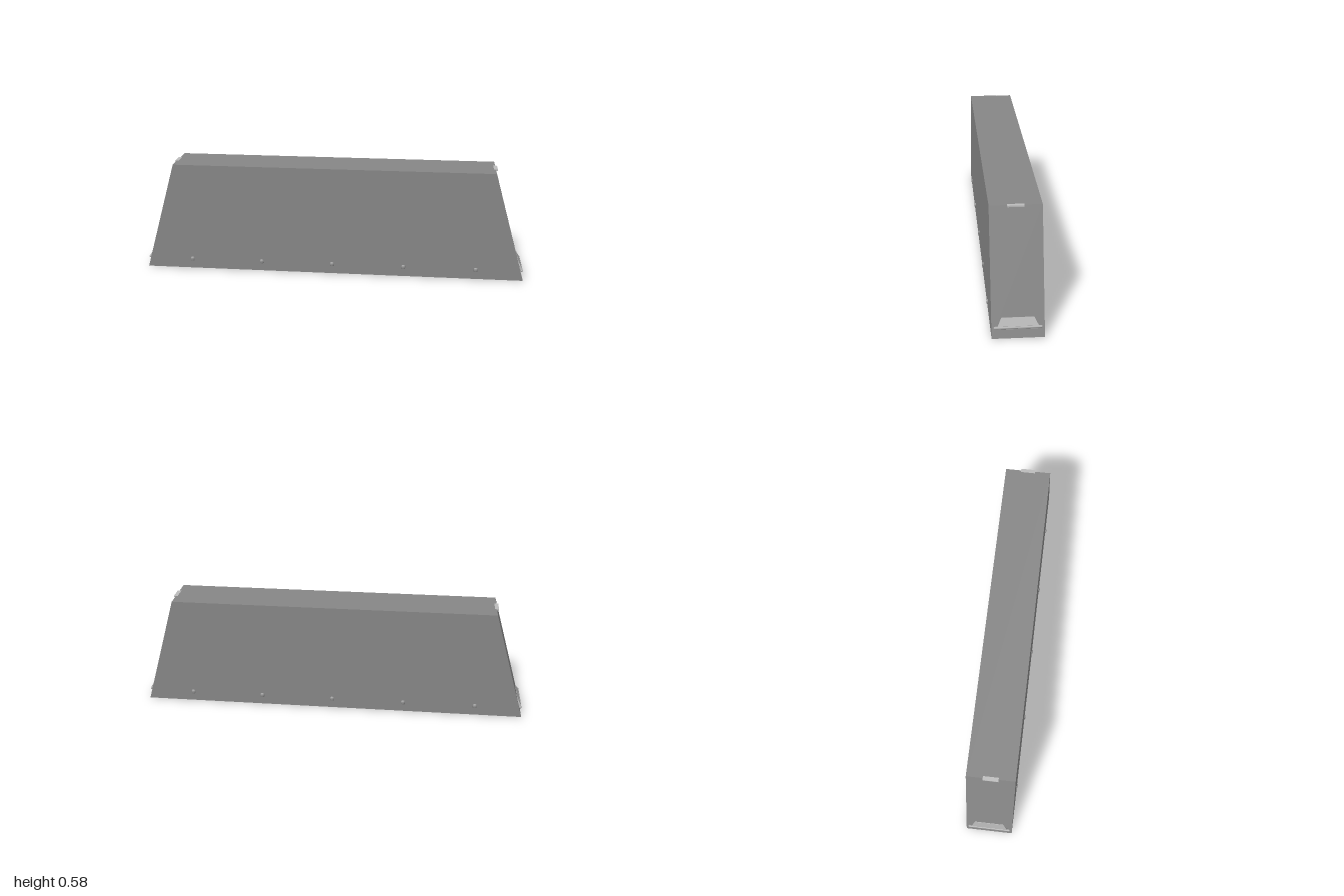
import * as THREE from 'three';
import { ConvexGeometry } from 'three/addons/geometries/ConvexGeometry.js';

const bodyPaint = new THREE.MeshStandardMaterial({ color: 0x868686, flatShading: true });
const hoodPaint = new THREE.MeshStandardMaterial({ color: 0xaaaaaa, flatShading: true });
const tabPaint = new THREE.MeshStandardMaterial({ color: 0xbbbbbb, flatShading: true });
const stripPaint = new THREE.MeshStandardMaterial({ color: 0xc0c0c0, flatShading: true });
const barPaint = new THREE.MeshStandardMaterial({ color: 0xaaaaaa });
const lampPaint = new THREE.MeshStandardMaterial({ color: 0x999999 });

const BASE = 0.003, TOP = 0.576, HALF_DEPTH = 0.119, HALF_BASE = 1, HALF_TOP = 0.835;

// x of the sloping end wall at height y
const wallX = (y) => HALF_BASE + (HALF_TOP - HALF_BASE) * (y - BASE) / (TOP - BASE);

function add(parent, name, geometry, material, x = 0, y = 0, z = 0) {
  const mesh = new THREE.Mesh(geometry, material);
  mesh.name = name;
  mesh.position.set(x, y, z);
  parent.add(mesh);
  return mesh;
}

// Fittings of one end wall, built for the +x end
function createEnd(name) {
  const end = new THREE.Group();
  end.name = name;

  // Flared hood, narrower at the top
  const corners = [];
  for (const s of [-1, 1]) {
    corners.push(
      new THREE.Vector3(wallX(0.095) - 0.004, 0.095, s * 0.074),
      new THREE.Vector3(wallX(0.095) + 0.002, 0.094, s * 0.074),
      new THREE.Vector3(0.994, 0.06, s * 0.092),
      new THREE.Vector3(0.994, 0.045, s * 0.088),
      new THREE.Vector3(0.975, 0.045, s * 0.088),
    );
  }
  add(end, 'hood', new ConvexGeometry(corners), hoodPaint);

  // Round bar along the lip of the hood
  const bar = add(end, 'lipBar', new THREE.CapsuleGeometry(0.0065, 0.207, 4, 12), barPaint, 0.992, 0.053, 0);
  bar.rotation.x = Math.PI / 2;

  // Small tab at the top edge
  add(end, 'topTab', new THREE.BoxGeometry(0.02, 0.007, 0.076), tabPaint, 0.835, 0.573, 0);
  return end;
}

export function createModel() {
  const model = new THREE.Group();
  model.name = 'taperedCasing';

  // Trapezoid body
  const outline = new THREE.Shape([
    new THREE.Vector2(-HALF_BASE, BASE),
    new THREE.Vector2(HALF_BASE, BASE),
    new THREE.Vector2(HALF_TOP, TOP),
    new THREE.Vector2(-HALF_TOP, TOP),
  ]);
  const body = new THREE.ExtrudeGeometry(outline, { depth: 2 * HALF_DEPTH, bevelEnabled: false });
  body.translate(0, 0, -HALF_DEPTH);
  add(model, 'body', body, bodyPaint);

  // Strip under the base, its lower edges drawn in
  const strip = [];
  for (const sx of [-1, 1]) {
    for (const sz of [-1, 1]) {
      strip.push(
        new THREE.Vector3(sx * 0.925, BASE + 0.002, sz * 0.061),
        new THREE.Vector3(sx * 0.92, 0, sz * 0.057),
      );
    }
  }
  add(model, 'baseStrip', new ConvexGeometry(strip), stripPaint);

  // Small domed studs, flat underneath, along both long sides
  const profile = [[0, -0.01], [0.0105, -0.01], [0.0105, 0.003], [0.0095, 0.007], [0.006, 0.01], [0, 0.011]];
  const stud = new THREE.LatheGeometry(profile.map(([r, y]) => new THREE.Vector2(r, y)), 16);
  stud.scale(1, 1, 0.6);
  for (const side of [-1, 1]) {
    for (let i = -2; i <= 2; i++) {
      add(model, 'stud', stud, lampPaint, i * 0.3775, 0.055, side * HALF_DEPTH);
    }
  }

  // Matching fittings on both ends
  const left = createEnd('leftEnd');
  const right = createEnd('rightEnd');
  right.rotation.y = Math.PI;
  model.add(left, right);
  return model;
}
